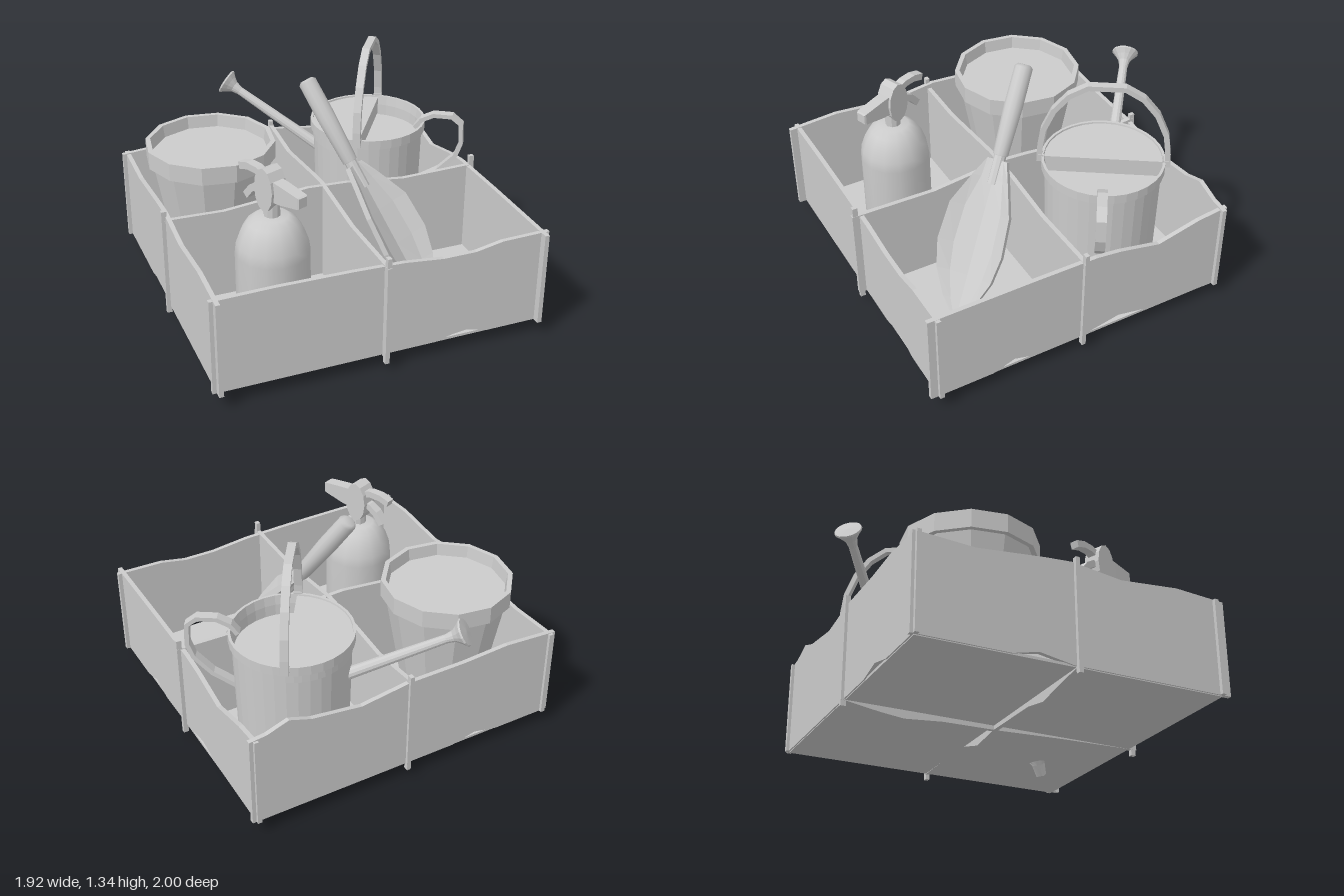
import * as THREE from 'three';

const mat = new THREE.MeshStandardMaterial({ color: 0xcccccc, side: THREE.DoubleSide });
const flat = new THREE.MeshStandardMaterial({ color: 0xcccccc, side: THREE.DoubleSide, flatShading: true });
const V = (x, y, z) => new THREE.Vector3(x, y, z);

function add(parent, name, geo, x = 0, y = 0, z = 0, material = flat) {
  const m = new THREE.Mesh(geo, material);
  m.name = name;
  m.position.set(x, y, z);
  parent.add(m);
  return m;
}

// Thin board drawn as an outline: top and bottom edges listed along its length
function board(parent, name, alongZ, at, top, bottom) {
  const pts = [...bottom, ...top.slice().reverse()].map(p => new THREE.Vector2(...p));
  const geo = new THREE.ExtrudeGeometry(new THREE.Shape(pts), { depth: 0.026, bevelEnabled: false });
  geo.translate(0, 0, -0.013);
  const m = add(parent, name, geo);
  // shape x becomes world z for boards running front to back
  if (alongZ) { m.geometry.scale(-1, 1, -1); m.rotation.y = Math.PI / 2; m.position.x = at; }
  else m.position.z = at;
}

// Solid of revolution from [radius, height] pairs
const lathe = (pts, n) => new THREE.LatheGeometry(pts.map(p => new THREE.Vector2(...p)), n);

// Round bar between two points
function bar(parent, name, a, b, ra, rb, n) {
  const m = add(parent, name, new THREE.CylinderGeometry(rb, ra, a.distanceTo(b), n), 0, 0, 0, flat);
  m.position.copy(a).lerp(b, 0.5);
  m.quaternion.setFromUnitVectors(V(0, 1, 0), b.clone().sub(a).normalize());
}

// Surface through closed rings of points, capped at both ends
function loft(rings) {
  const n = rings[0].length, pos = [], idx = [];
  rings.forEach(r => r.forEach(p => pos.push(p.x, p.y, p.z)));
  for (let i = 0; i + 1 < rings.length; i++) for (let j = 0; j < n; j++) {
    const a = i * n + j, b = i * n + (j + 1) % n;
    idx.push(a, b, a + n, b, b + n, a + n);
  }
  const last = (rings.length - 1) * n;
  for (let j = 0; j < n / 2 - 1; j++) for (const o of [0, last]) {
    const a = o + j, b = o + j + 1, c = o + n - 1 - j, d = o + n - 2 - j;
    if (o) idx.push(a, b, c, b, d, c); else idx.push(a, c, b, b, c, d);
  }
  const g = new THREE.BufferGeometry();
  g.setAttribute('position', new THREE.Float32BufferAttribute(pos, 3));
  g.setIndex(idx);
  g.computeVertexNormals();
  return g;
}

// Rectangular strap bent along a path lying in the plane of `out` and up
function strap(path, origin, out, width, thick) {
  const side = V(out.z, 0, -out.x);
  const pts = path.map(([r, y]) => origin.clone().addScaledVector(out, r).setY(y));
  return loft(pts.map((p, i) => {
    const t = pts[Math.min(i + 1, pts.length - 1)].clone().sub(pts[Math.max(i - 1, 0)]).normalize();
    const nrm = t.clone().cross(side);
    return [[1, 1], [-1, 1], [-1, -1], [1, -1]].map(([s, k]) =>
      p.clone().addScaledVector(side, s * width / 2).addScaledVector(nrm, k * thick / 2));
  }));
}

function makeCrate() {
  const g = new THREE.Group(); g.name = 'crate';
  add(g, 'floor', new THREE.BoxGeometry(1.86, 0.015, 1.77), 0, 0.077, 0.065);
  board(g, 'frontWall', false, 0.945,
    [[-0.96, 0.63], [-0.6, 0.635], [-0.2, 0.63], [0.1, 0.62], [0.33, 0.595], [0.52, 0.595], [0.68, 0.625], [0.96, 0.63]],
    [[-0.96, 0.075], [0.3, 0.075], [0.4, 0.1], [0.49, 0.11], [0.62, 0.075], [0.96, 0.075]]);
  board(g, 'backWall', false, -0.815,
    [[-0.96, 0.63], [-0.63, 0.655], [-0.35, 0.64], [0, 0.64], [0.3, 0.6], [0.6, 0.64], [0.73, 0.685], [0.86, 0.64], [0.96, 0.63]],
    [[-0.96, 0.075], [-0.6, 0.075], [-0.45, 0.11], [-0.3, 0.075], [0.96, 0.075]]);
  board(g, 'rightWall', true, -0.925,
    [[-0.845, 0.63], [-0.5, 0.61], [-0.1, 0.65], [0.05, 0.66], [0.35, 0.62], [0.7, 0.65], [1, 0.63]],
    [[-0.845, 0.075], [-0.3, 0.075], [-0.15, 0.11], [0.05, 0.075], [1, 0.075]]);
  board(g, 'leftWall', true, 0.925,
    [[-0.845, 0.63], [-0.66, 0.61], [-0.4, 0.55], [-0.15, 0.605], [0, 0.625], [0.4, 0.63], [1, 0.63]],
    [[-0.845, 0.075], [-0.35, 0.09], [-0.16, 0.13], [0.05, 0.09], [0.36, 0.08], [0.5, 0.12], [0.63, 0.075], [1, 0.075]]);
  board(g, 'crossDivider', false, 0.075,
    [[-0.96, 0.63], [-0.6, 0.62], [-0.1, 0.67], [0.15, 0.66], [0.5, 0.62], [0.96, 0.63]],
    [[-0.96, 0.07], [-0.72, 0.035], [-0.58, 0.01], [-0.42, 0.04], [0, 0.045], [0.2, 0.02], [0.4, 0.075], [0.96, 0.065]]);
  board(g, 'lengthDivider', true, 0,
    [[-0.845, 0.66], [-0.5, 0.62], [-0.1, 0.66], [0.05, 0.67], [0.5, 0.62], [1, 0.63]],
    [[-0.845, 0.07], [-0.62, 0.035], [-0.48, 0.02], [-0.25, 0.04], [0.1, 0.045], [0.5, 0.06], [1, 0.07]]);
  // Ends of the dividers slotted through the outer walls
  for (const [x, z] of [[0, 0.98], [0, -0.83], [0.945, 0.075], [-0.945, 0.075]])
    add(g, 'dividerEnd', new THREE.BoxGeometry(x ? 0.03 : 0.024, 0.65, x ? 0.024 : 0.03), x, 0.36, z);
  return g;
}

function makePot() {
  const g = new THREE.Group(); g.name = 'plantPot';
  add(g, 'potBody', lathe([[0, 0.085], [0.23, 0.085], [0.35, 0.757], [0.378, 0.757], [0.378, 0.862], [0.35, 0.862], [0.34, 0.79]], 12));
  add(g, 'soil', new THREE.CylinderGeometry(0.342, 0.342, 0.02, 12), 0, 0.78, 0);
  g.position.set(-0.54, 0, -0.345);
  g.rotation.y = 0.1;
  return g;
}

function makeWateringCan() {
  const g = new THREE.Group(); g.name = 'wateringCan';
  const c = V(0.45, 0, -0.335);
  add(g, 'canBody', lathe([[0, 0.085], [0.31, 0.085], [0.327, 0.785], [0.345, 0.79], [0.345, 0.845], [0.33, 0.845], [0.32, 0.79], [0.315, 0.7]], 32), c.x, 0, c.z);
  add(g, 'water', new THREE.CylinderGeometry(0.32, 0.32, 0.01, 32), c.x, 0.72, c.z);
  // Half lid covering the spout side, with its dropped edge
  const across = V(0.56, 0, -0.83).normalize();
  const a = Math.atan2(across.x, across.z);
  add(g, 'halfLid', new THREE.CylinderGeometry(0.33, 0.33, 0.1, 24, 1, false, a, Math.PI), c.x, 0.785, c.z);
  add(g, 'lidEdge', new THREE.BoxGeometry(0.012, 0.1, 0.65), c.x, 0.785, c.z).rotation.y = a;
  // Tall arched carrying handle
  const half = [[-0.355, 0.81], [-0.352, 0.9], [-0.335, 1.02], [-0.28, 1.15], [-0.2, 1.25], [-0.1, 1.31]];
  const arch = [...half, ...half.slice().reverse().map(([r, y]) => [-r, y])];
  add(g, 'archHandle', strap(arch, c, across, 0.045, 0.03));
  for (const s of [-1, 1])
    add(g, 'handleLug', new THREE.BoxGeometry(0.05, 0.04, 0.03), c.x + across.x * 0.345 * s, 0.835, c.z + across.z * 0.345 * s).rotation.y = a;
  // Side grip
  add(g, 'sideGrip', strap([[0.29, 0.81], [0.33, 0.865], [0.4, 0.9], [0.51, 0.9], [0.565, 0.855], [0.57, 0.73], [0.54, 0.645], [0.44, 0.54], [0.31, 0.46]],
    c, V(0.83, 0, 0.55).normalize(), 0.055, 0.026));
  // Spout and rose
  const neck = V(-0.19, 0.905, -0.885);
  const d = V(-0.37, 0.28, -0.31).normalize();
  bar(g, 'spout', V(0.26, 0.565, -0.51), neck, 0.036, 0.025, 12);
  const rose = add(g, 'rose', lathe([[0.024, -0.02], [0.034, 0.03], [0.055, 0.06], [0.078, 0.085], [0.076, 0.095], [0, 0.1]], 14));
  rose.position.copy(neck);
  rose.quaternion.setFromUnitVectors(V(0, 1, 0), d);
  return g;
}

function makeSprayBottle() {
  const g = new THREE.Group(); g.name = 'sprayBottle';
  add(g, 'bottle', lathe([[0, 0.085], [0.19, 0.085], [0.203, 0.12], [0.203, 0.58], [0.195, 0.64], [0.17, 0.71], [0.135, 0.765], [0.09, 0.797], [0, 0.8]], 14), 0, 0, 0, mat);
  add(g, 'neck', new THREE.CylinderGeometry(0.045, 0.045, 0.13, 10), 0, 0.84, 0);
  // Oval head lying across the spray direction
  const head = new THREE.CylinderGeometry(1, 1, 0.1, 12);
  head.rotateZ(Math.PI / 2).scale(1, 0.125, 0.072);
  add(g, 'sprayHead', head, 0, 0.955, -0.01);
  const box = (z, y, w, h) => [[1, -1], [1, 1], [-1, 1], [-1, -1]].map(([s, k]) => V(s * w, y + k * h, z));
  add(g, 'nozzle', loft([box(0.03, 0.96, 0.035, 0.06), box(0.1, 0.96, 0.035, 0.055), box(0.235, 0.965, 0.033, 0.033), box(0.245, 0.965, 0.028, 0.028)]));
  // Trigger prongs behind the head
  const prong = path => strap(path, V(0, 0, 0), V(0, 0, -1), 0.05, 0.04);
  add(g, 'upperProng', prong([[0.02, 1.0], [0.1, 1.03], [0.17, 1.03], [0.235, 1.01]]));
  add(g, 'trigger', prong([[0.02, 0.95], [0.09, 0.94], [0.14, 0.91], [0.19, 0.85]]));
  g.position.set(-0.47, 0, 0.52);
  g.rotation.y = 0.37;
  return g;
}

function makeTrowel() {
  const g = new THREE.Group(); g.name = 'trowel';
  // Built hanging down from the grip: +x across the blade, +z its hollow side
  add(g, 'grip', lathe([[0, 0.54], [0.035, 0.54], [0.052, 0.525], [0.054, 0.3], [0.044, 0.02], [0, 0]], 12), 0, 0, 0, mat);
  add(g, 'ferrule', new THREE.CylinderGeometry(0.035, 0.035, 0.2, 10), 0, -0.05, 0);
  const stations = [[0.01, 0.06, 0.01], [0.12, 0.11, 0.04], [0.3, 0.185, 0.08], [0.52, 0.2, 0.08], [0.68, 0.17, 0.06], [0.83, 0.1, 0.03], [0.92, 0.035, 0.005], [0.99, 0.025, 0]];
  const u = [-1, -0.6, 0, 0.6, 1];
  const blade = loft(stations.map(([t, w, bow]) => {
    const row = k => u.map(s => V(s * w, -t, bow * s * s + k));
    return [...row(-0.018), ...row(0.018).reverse()];
  }));
  add(g, 'blade', blade);
  const up = V(-0.32, 0.81, -0.47).normalize();
  const side = V(0.83, 0, -0.56);
  side.addScaledVector(up, -side.dot(up)).normalize();
  g.quaternion.setFromRotationMatrix(new THREE.Matrix4().makeBasis(side, up, side.clone().cross(up)));
  g.position.set(0.14, 0.81, 0.15);
  return g;
}

export function createModel() {
  const model = new THREE.Group();
  model.name = 'gardenCrate';
  model.add(makeCrate(), makePot(), makeWateringCan(), makeSprayBottle(), makeTrowel());
  return model;
}
